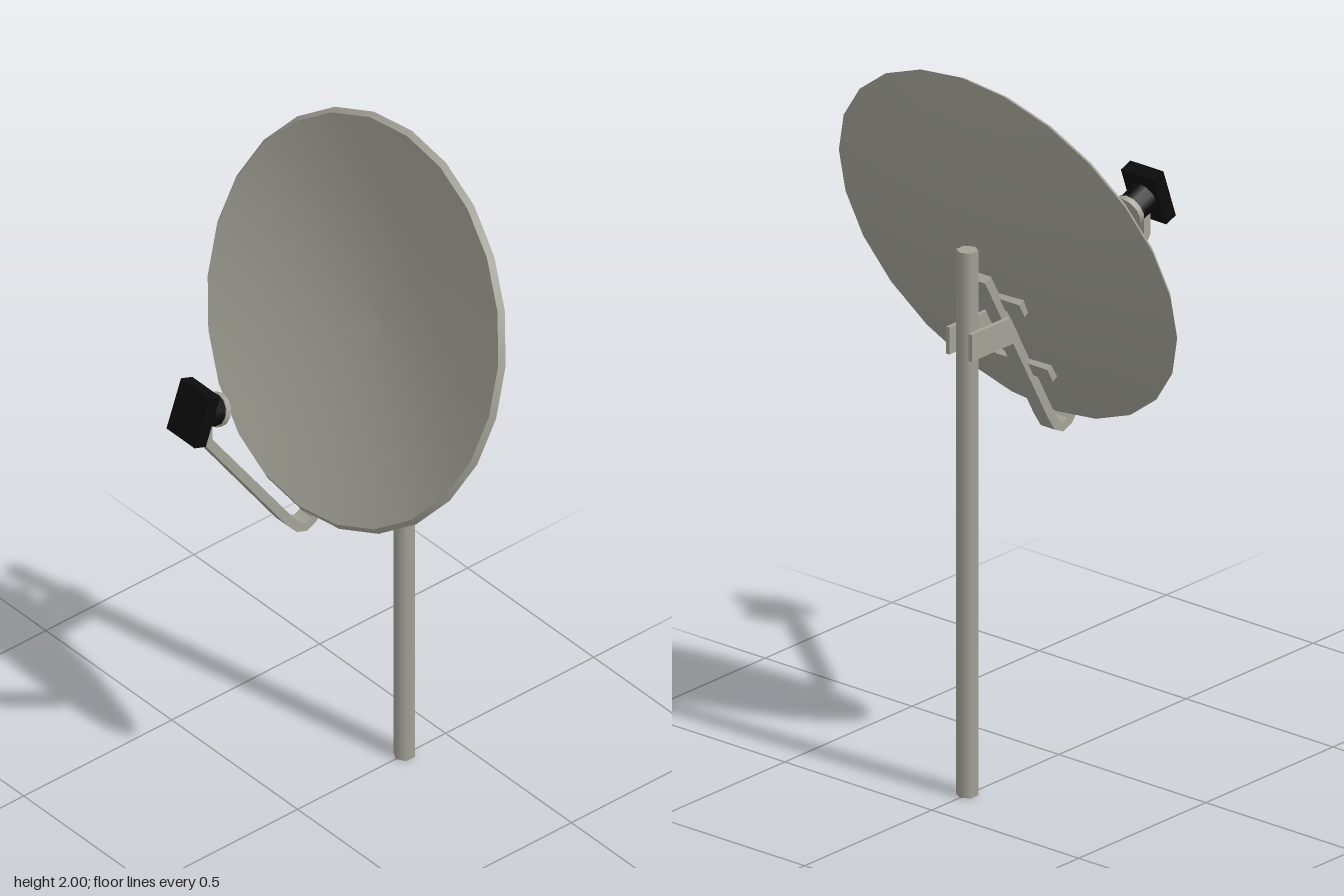
import * as THREE from 'three';

const TILT = 0.343;

export function createModel() {
  const root = new THREE.Group();
  root.name = 'satelliteDish';
  const grey = new THREE.MeshStandardMaterial({ color: 0xa3a398 });
  grey.name = 'warm grey metal';
  const black = new THREE.MeshStandardMaterial({ color: 0x0b0b0b });
  black.name = 'black plastic';

  const add = (parent, name, geometry, material, x = 0, y = 0, z = 0) => {
    const mesh = new THREE.Mesh(geometry, material);
    mesh.name = name;
    mesh.position.set(x, y, z);
    parent.add(mesh);
    return mesh;
  };

  // Side outline given as [z, y] points, extruded across x
  const sideExtrude = (points, width) => {
    const shape = new THREE.Shape(points.map(([z, y]) => new THREE.Vector2(z, y)));
    const geometry = new THREE.ExtrudeGeometry(shape, { depth: width, bevelEnabled: false });
    return geometry.translate(0, 0, -width / 2).rotateY(-Math.PI / 2);
  };

  // Strip of constant thickness along a [z, y] path
  const strip = (path, thickness, width) => {
    const pts = path.map(([z, y]) => new THREE.Vector2(z, y));
    const near = [], far = [];
    pts.forEach((p, i) => {
      const a = p.clone().sub(pts[Math.max(i - 1, 0)]).normalize();
      const b = pts[Math.min(i + 1, pts.length - 1)].clone().sub(p).normalize();
      const t = a.add(b).normalize();
      const n = new THREE.Vector2(-t.y, t.x).multiplyScalar(thickness / 2);
      near.push([p.x + n.x, p.y + n.y]);
      far.unshift([p.x - n.x, p.y - n.y]);
    });
    return sideExtrude([...near, ...far], width);
  };

  // Pole
  add(root, 'pole', new THREE.CylinderGeometry(0.029, 0.029, 1.515, 6), grey, 0, 0.7575, -0.36);

  // Reflector: back shell, rim and front bowl
  const dish = new THREE.Group();
  dish.name = 'dish';
  dish.position.set(0, 1.481, -0.2);
  dish.rotation.x = -TILT;
  root.add(dish);
  const depth = 0.087, rings = 6;
  const bowl = (radius, lift) => Array.from({ length: rings + 1 }, (_, i) => {
    const t = i / rings;
    return new THREE.Vector2(radius * t, lift - depth * (1 - t ** 1.85));
  });
  const lathe = (points) => new THREE.LatheGeometry(points, 24).rotateX(Math.PI / 2);
  add(dish, 'dishBack', lathe(bowl(0.553, 0)), grey);
  add(dish, 'dishRim', lathe([new THREE.Vector2(0.553, 0), new THREE.Vector2(0.54, 0.014)]), grey);
  add(dish, 'dishFront', lathe(bowl(0.54, 0.014).reverse()), grey);

  // Bent arm carrying the feed and the dish
  const armPath = [[0.32, 1.42], [0.32, 1.355], [0.045, 0.965], [0.015, 0.931],
    [-0.01, 0.921], [-0.035, 0.933], [-0.06, 0.972], [-0.306, 1.42]];
  add(root, 'arm', strip(armPath, 0.026, 0.048), grey);

  // Cross bars between the arm and the dish
  for (const [y, z] of [[1.34, -0.238], [1.126, -0.127]]) {
    const bar = add(root, 'crossBar', new THREE.BoxGeometry(0.18, 0.045, 0.026), grey, 0, y, z);
    bar.rotation.x = -0.503;
  }

  // Pair of clamp plates joining the arm to the pole
  const plate = [[-0.2, 1.225], [-0.393, 1.225], [-0.393, 1.3], [-0.24, 1.3]];
  for (const side of [-1, 1]) {
    add(root, 'clampPlate', sideExtrude(plate, 0.012), grey, side * 0.038, 0, 0);
  }

  // Receiver aimed back at the dish
  const feed = new THREE.Group();
  feed.name = 'receiver';
  feed.position.set(0, 1.454, 0.352);
  feed.rotation.x = -TILT;
  root.add(feed);
  add(feed, 'receiverBody', new THREE.BoxGeometry(0.112, 0.146, 0.04), black);
  const disc = (radius, length) =>
    new THREE.CylinderGeometry(radius, radius, length, 12).rotateX(Math.PI / 2);
  add(feed, 'receiverNeck', disc(0.043, 0.056), black, 0, 0, -0.047);
  add(feed, 'receiverCap', disc(0.046, 0.016), grey, 0, 0, -0.083);

  return root;
}
